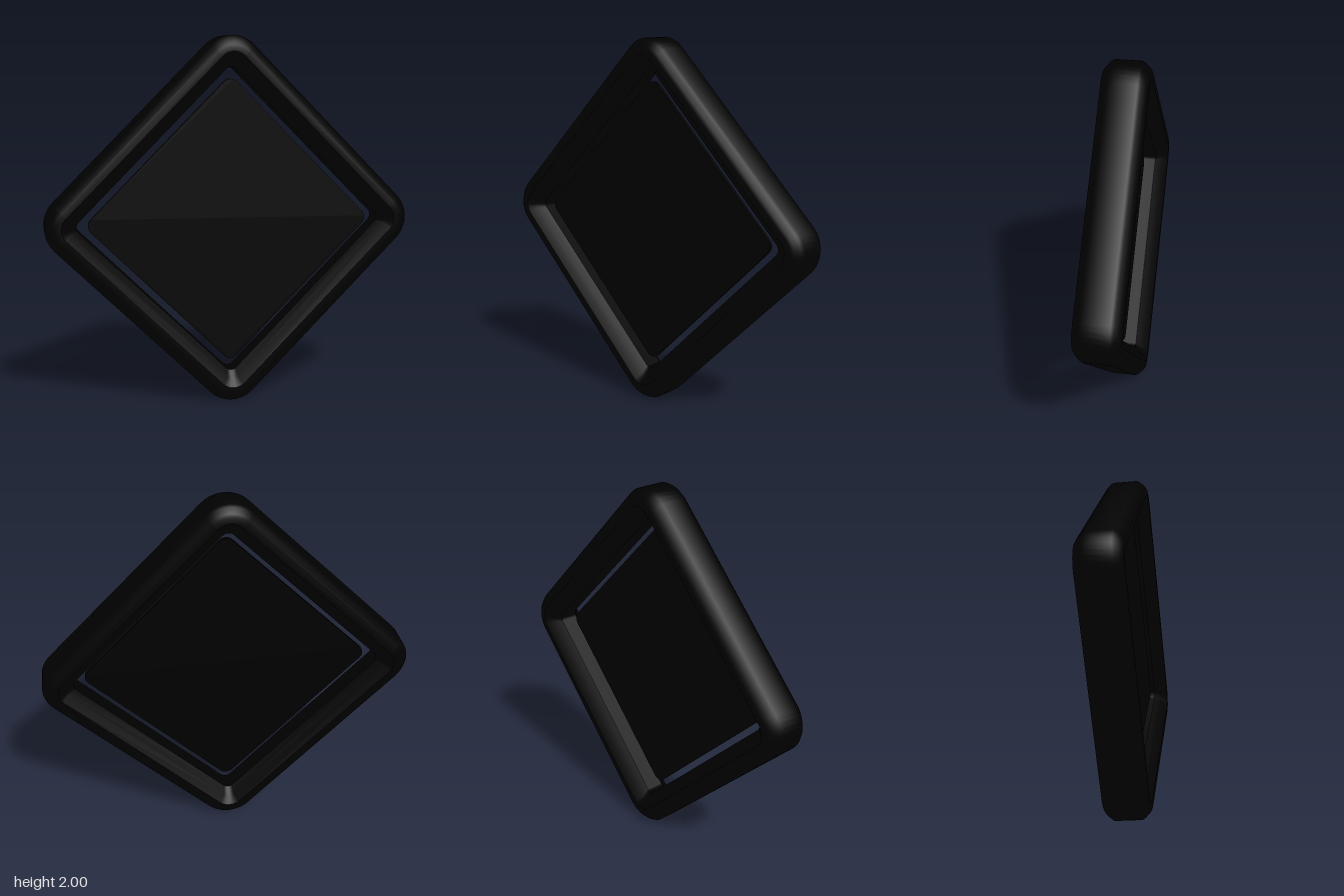
import * as THREE from 'three';
import { toCreasedNormals } from 'three/addons/utils/BufferGeometryUtils.js';

const OUTER = 0.757;        // centre to outer edge of the frame
const CORNER_STEPS = 10;

// Rounded diamond outline: apothem a, corner radius r, counter-clockwise
function diamond(a, r) {
  const pts = [];
  const tip = (a - r) * Math.SQRT2;
  for (let c = 0; c < 4; c++) {
    const mid = c * Math.PI / 2;
    for (let i = 0; i <= CORNER_STEPS; i++) {
      const t = mid + (i / CORNER_STEPS - 0.5) * Math.PI / 2;
      pts.push(new THREE.Vector2(
        Math.cos(mid) * tip + Math.cos(t) * r,
        Math.sin(mid) * tip + Math.sin(t) * r));
    }
  }
  return pts;
}

// Sweeps a closed [inset, z] profile around the diamond
function frameGeometry(profile) {
  const pos = [], idx = [];
  let n = 0;
  for (const [inset, z] of profile) {
    const ring = diamond(OUTER - inset, Math.max(0.17 - inset, 0.04));
    n = ring.length;
    for (const p of ring) pos.push(p.x, p.y, z);
  }
  const m = profile.length;
  for (let k = 0; k < m; k++) {
    for (let i = 0; i < n; i++) {
      const j = (i + 1) % n, l = (k + 1) % m;
      const a = k * n + i, b = k * n + j, c = l * n + j, d = l * n + i;
      idx.push(a, b, c, a, c, d);
    }
  }
  const g = new THREE.BufferGeometry();
  g.setAttribute('position', new THREE.Float32BufferAttribute(pos, 3));
  g.setIndex(idx);
  return toCreasedNormals(g, 0.6);
}

// Flat diamond between two depths
function slab(a, r, back, front) {
  const g = new THREE.ExtrudeGeometry(new THREE.Shape(diamond(a, r)),
    { depth: front - back, bevelEnabled: false });
  g.translate(0, 0, back);
  return toCreasedNormals(g, 0.6);
}

export function createModel() {
  const black = new THREE.MeshStandardMaterial({ color: 0x000000 });
  black.name = 'black';

  const group = new THREE.Group();
  const add = (name, geometry) => {
    const mesh = new THREE.Mesh(geometry, black);
    mesh.name = name;
    mesh.position.y = 1;
    group.add(mesh);
  };

  // Frame with softened edges, the same at front and back
  const half = [[0, 0.07], [0.01, 0.086], [0.034, 0.11], [0.05, 0.12],
    [0.085, 0.12], [0.125, 0.088], [0.156, 0.05]];
  const mirrored = half.map(([inset, z]) => [inset, -z]).reverse();
  add('frame', frameGeometry([...half, ...mirrored]));

  // Panel floating in the middle, with an open gap around it
  add('centrePanel', slab(0.56, 0.05, 0.012, 0.032));
  return group;
}
